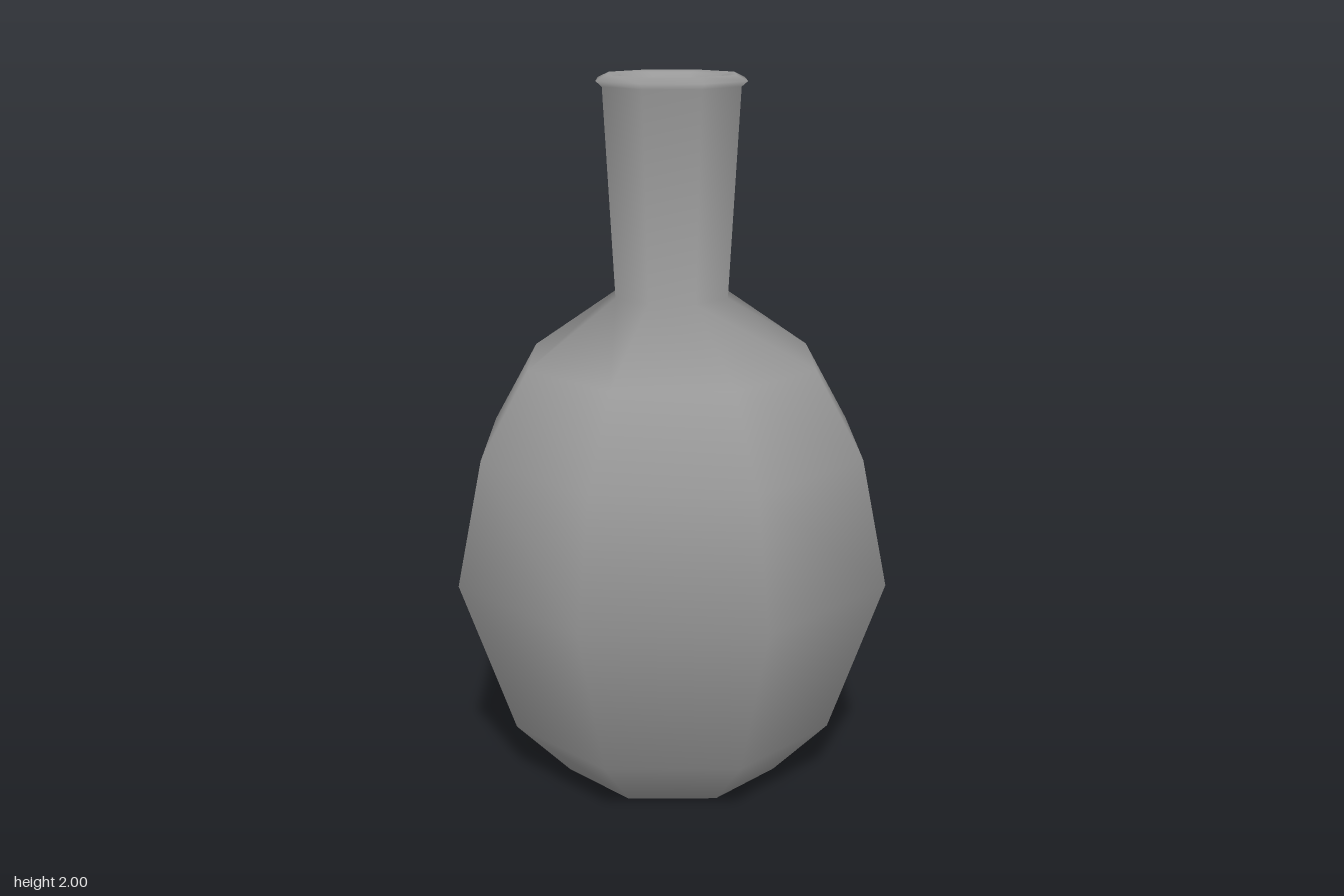
import * as THREE from 'three';

export function createModel() {
  const group = new THREE.Group();
  group.name = 'flask';

  // Turned outline as [radius, height], from the base centre to the mouth
  const profile = [
    // closed base and round belly
    [0, 0], [0.324, 0], [0.484, 0.17], [0.64, 0.626],
    [0.565, 0.98], [0.425, 1.22],
    // flared hollow neck
    [0.167, 1.4], [0.2, 1.97],
    // rounded lip turning into the mouth
    [0.218, 1.985], [0.185, 2], [0.15, 1.995], [0.115, 1.955],
  ].map(([r, y]) => new THREE.Vector2(r, y));

  // Eight smooth-shaded sides; the inside shows through the mouth
  const flask = new THREE.Mesh(
    new THREE.LatheGeometry(profile, 8),
    new THREE.MeshStandardMaterial({ color: 0x999999, side: THREE.DoubleSide }),
  );
  flask.name = 'flaskBody';
  group.add(flask);

  return group;
}
